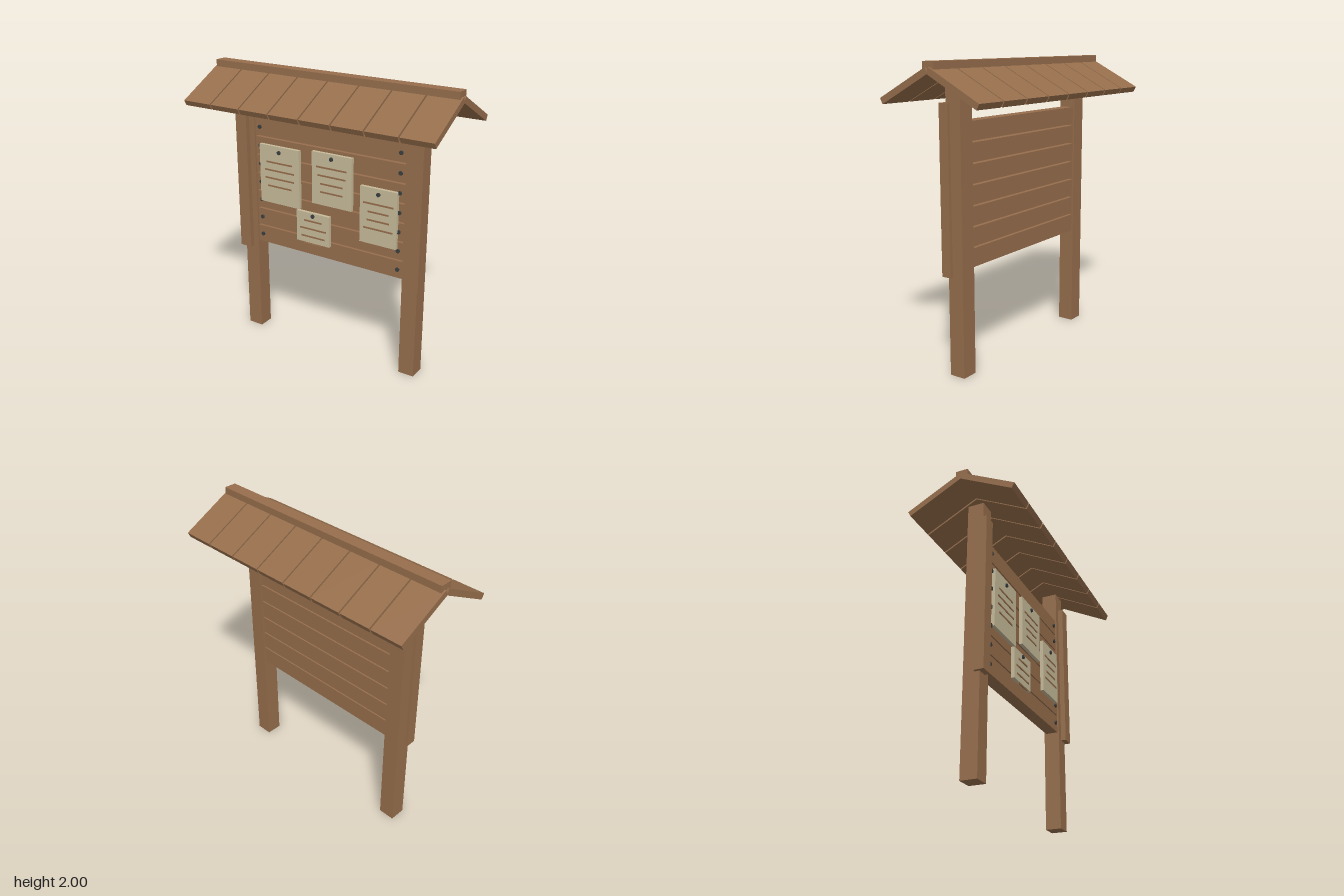
import * as THREE from 'three';

const material = (name, color) => {
  const m = new THREE.MeshStandardMaterial({ color });
  m.name = name;
  return m;
};

export function createModel() {
  const wood = material('wood', 0x966e4c);
  const paper = material('paper', 0xc6ba99);
  const iron = material('dark iron', 0x393e40);
  const root = new THREE.Group();
  root.name = 'noticeBoard';

  const group = (name) => {
    const g = new THREE.Group();
    g.name = name;
    root.add(g);
    return g;
  };
  // box given by its limits on each axis
  const box = (parent, name, mat, [x0, x1], [y0, y1], [z0, z1]) => {
    const mesh = new THREE.Mesh(new THREE.BoxGeometry(x1 - x0, y1 - y0, z1 - z0), mat);
    mesh.position.set((x0 + x1) / 2, (y0 + y1) / 2, (z0 + z1) / 2);
    mesh.name = name;
    parent.add(mesh);
    return mesh;
  };
  // round head facing the front
  const stud = (parent, name, x, y, z0, z1) => {
    const geo = new THREE.CylinderGeometry(0.014, 0.014, z1 - z0, 10).rotateX(Math.PI / 2);
    const mesh = new THREE.Mesh(geo, iron);
    mesh.position.set(x, y, (z0 + z1) / 2);
    mesh.name = name;
    parent.add(mesh);
  };

  // posts with a facing board in front of each
  const frame = group('frame');
  for (const s of [-1, 1]) {
    const span = (a, b) => (s > 0 ? [a, b] : [-b, -a]);
    box(frame, 'post', wood, span(0.593, 0.707), [0, 1.873], [-0.056, 0.056]);
    box(frame, 'facingBoard', wood, span(0.638, 0.729), [0.66, 1.748], [0.024, 0.092]);
  }

  // seven planks, nailed at both ends
  const panel = group('panel');
  for (let i = 0; i < 7; i++) {
    const y = 0.771 + i * 0.1338;
    box(panel, 'plank', wood, [-0.6, 0.6], [y - 0.0615, y + 0.0615], [-0.043, 0.045]);
    for (const x of [-0.553, 0.553]) stud(panel, 'nail', x, y, 0.03, 0.055);
  }

  // sheets: limits, pin position, first line height, then [centre, width] of each line
  const sheets = [
    { x: [-0.543, -0.212], y: [1.04, 1.46], pin: [-0.376, 1.42], top: 1.342,
      lines: [[-0.377, 0.212], [-0.377, 0.244], [-0.377, 0.244], [-0.377, 0.202]] },
    { x: [-0.106, 0.207], y: [1.111, 1.48], pin: [0.05, 1.448], top: 1.38,
      lines: [[0.05, 0.238], [0.05, 0.218], [0.05, 0.175], [0.05, 0.175]] },
    { x: [0.272, 0.547], y: [0.918, 1.311], pin: [0.411, 1.274], top: 1.203,
      lines: [[0.41, 0.223], [0.41, 0.154], [0.41, 0.165], [0.41, 0.218]] },
    { x: [-0.237, 0.032], y: [0.807, 1.031], pin: [-0.101, 1.011], top: 0.971,
      lines: [[-0.101, 0.143], [-0.101, 0.212], [-0.101, 0.191], [-0.101, 0.138]] },
  ];
  const notices = group('notices');
  for (const s of sheets) {
    box(notices, 'sheet', paper, s.x, s.y, [0.045, 0.07]);
    stud(notices, 'pin', s.pin[0], s.pin[1], 0.06, 0.08);
    s.lines.forEach(([cx, w], i) => {
      const y = s.top - i * 0.0583;
      box(notices, 'writtenLine', wood, [cx - w / 2, cx + w / 2], [y - 0.0055, y + 0.0055], [0.066, 0.074]);
    });
  }

  // two slopes of eight boards under a ridge beam
  const roof = group('roof');
  const pitch = THREE.MathUtils.degToRad(27.5);
  for (const s of [-1, 1]) {
    for (let i = 0; i < 8; i++) {
      const x = (i - 3.5) * 0.2338;
      const board = box(roof, 'roofBoard', wood, [x - 0.1115, x + 0.1115], [-0.0205, 0.0205], [-0.205, 0.205]);
      board.position.set(x, 1.853, s * 0.186);
      board.rotation.x = s * pitch;
    }
  }
  box(roof, 'ridgeBeam', wood, [-0.918, 0.918], [1.953, 2], [-0.042, 0.042]);

  return root;
}
